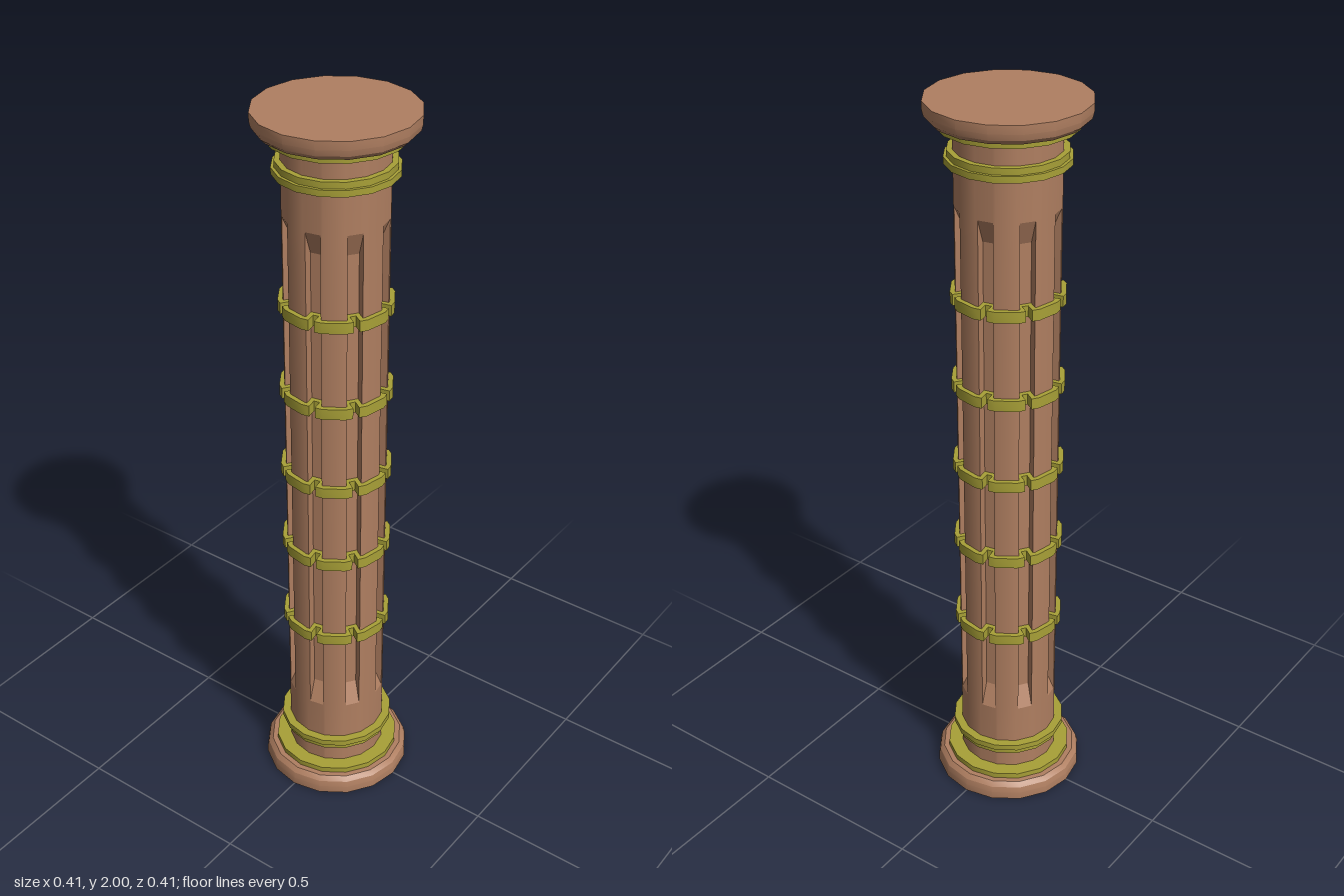
import * as THREE from 'three';
import { toCreasedNormals } from 'three/addons/utils/BufferGeometryUtils.js';

const SIDES = 16, CREASE = 0.4, DEPTH = 0.028;

// Sixteen-sided outline in x/z with a groove sunk into every other face
function outline(radius, halfWidth, depth) {
  const points = [];
  const apothem = radius * Math.cos(Math.PI / SIDES);
  for (let k = 0; k < 8; k++) {
    const start = (k * Math.PI) / 4, mid = start + Math.PI / SIDES;
    const polar = (a) => points.push([radius * Math.sin(a), radius * Math.cos(a)]);
    const onFace = (t, r) => points.push([
      r * Math.sin(mid) + t * Math.cos(mid),
      r * Math.cos(mid) - t * Math.sin(mid),
    ]);
    polar(start);
    onFace(-halfWidth, apothem);
    onFace(-halfWidth, apothem - depth);
    onFace(halfWidth, apothem - depth);
    onFace(halfWidth, apothem);
    polar(start + (2 * Math.PI) / SIDES);
  }
  return points;
}

// Skin a stack of outlines: [height, groove depth]
function shaftGeometry(levels) {
  const position = [], index = [];
  let n = 0;
  for (const [y, depth] of levels) {
    const ring = outline(0.135, 0.02, depth);
    n = ring.length;
    for (const [x, z] of ring) position.push(x, y, z);
  }
  for (let l = 0; l < levels.length - 1; l++) {
    for (let i = 0; i < n; i++) {
      const a = l * n + i, b = l * n + ((i + 1) % n);
      index.push(a, b, b + n, a, b + n, a + n);
    }
  }
  const geometry = new THREE.BufferGeometry();
  geometry.setAttribute('position', new THREE.Float32BufferAttribute(position, 3));
  geometry.setIndex(index);
  return toCreasedNormals(geometry, CREASE);
}

// Flat band that follows the grooves
function bandGeometry(height) {
  const shape = new THREE.Shape(outline(0.148, 0.008, DEPTH).map(([x, z]) => new THREE.Vector2(x, -z)));
  const geometry = new THREE.ExtrudeGeometry(shape, { depth: height, bevelEnabled: false });
  geometry.rotateX(-Math.PI / 2).translate(0, -height / 2, 0);
  return toCreasedNormals(geometry, CREASE);
}

// Turned part from [radius, height] pairs; the top copy is flipped
function turned(profile, top) {
  const pairs = top ? profile.map(([r, y]) => [r, 2 - y]).reverse() : profile;
  const points = pairs.map(([r, y]) => new THREE.Vector2(r, y));
  return toCreasedNormals(new THREE.LatheGeometry(points, SIDES), CREASE);
}

export function createModel() {
  const model = new THREE.Group();
  model.name = 'column';
  const stone = new THREE.MeshStandardMaterial({ color: 0xb07f61 });
  stone.name = 'brown stone';
  const gold = new THREE.MeshStandardMaterial({ color: 0xa8a037 });
  gold.name = 'old gold';

  const add = (name, geometry, material, y = 0) => {
    const mesh = new THREE.Mesh(geometry, material);
    mesh.name = name;
    mesh.position.y = y;
    model.add(mesh);
  };

  // Fluted shaft
  add('shaft', shaftGeometry([
    [0.04, 0], [0.27, 0], [0.33, DEPTH], [1.67, DEPTH], [1.735, 0], [1.96, 0],
  ]), stone);

  // Gold bands around the flutes
  const band = bandGeometry(0.03);
  [0.52, 0.775, 1.01, 1.25, 1.495].forEach((y, i) => add('band' + (i + 1), band, gold, y));

  // Base and capital with their gold mouldings
  for (const top of [false, true]) {
    const end = top ? 'capital' : 'base';
    add(end + 'Slab', turned([
      [0, 0], [0.206, 0], [0.206, 0.022], [0.202, 0.038], [0.19, 0.05], [0, 0.05],
    ], top), stone);
    add(end + 'Ring', turned([[0, 0.048], [0.175, 0.048], [0.175, 0.066], [0, 0.066]], top), gold);
    add(end + 'Collar', turned([
      [0.12, 0.122], [0.15, 0.122], [0.15, 0.139], [0.158, 0.139], [0.158, 0.156], [0.12, 0.156],
    ], top), gold);
  }
  return model;
}
